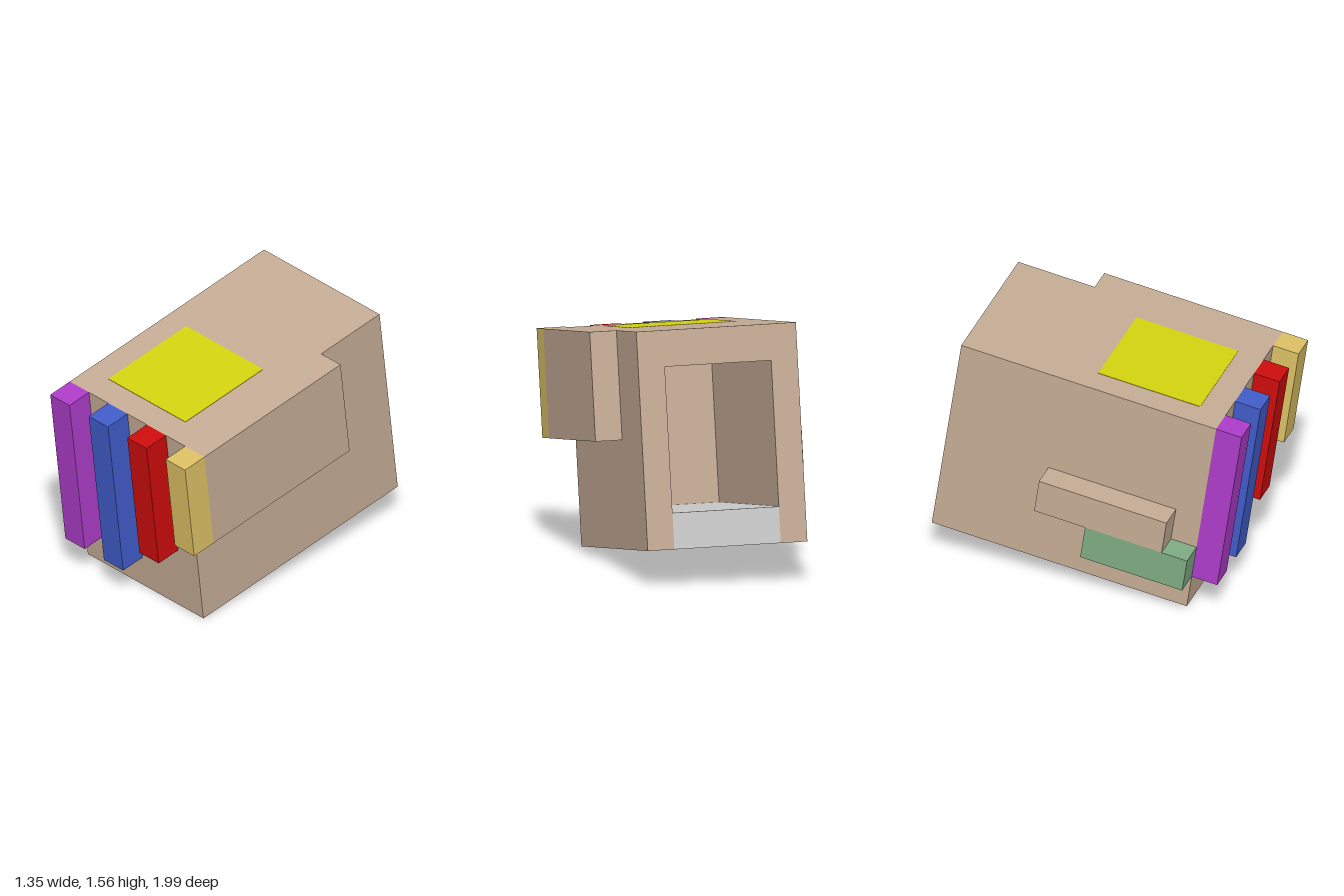
import * as THREE from 'three';

const U = 0.1655; // one block unit

const mat = (color) => new THREE.MeshStandardMaterial({ color, flatShading: true });

// Box given by its extents along each axis, in block units
function block(name, material, [x0, x1], [y0, y1], [z0, z1]) {
  const mesh = new THREE.Mesh(new THREE.BoxGeometry(x1 - x0, y1 - y0, z1 - z0), material);
  mesh.position.set((x0 + x1) / 2, (y0 + y1) / 2, (z0 + z1) / 2);
  mesh.name = name;
  return mesh;
}

export function createModel() {
  const T = 4 / 3; // thickness of the roof and floor, and height of the thumb blocks
  const skin = mat(0xc4ab94);
  const hand = new THREE.Group();
  hand.name = 'blockHand';

  // Hollow shell: upside-down U section, open at the back
  const section = new THREE.Shape([
    [-3, -4], [-2, -4], [-2, 4 - T], [2, 4 - T], [2, -4], [3, -4], [3, 4], [-3, 4],
  ].map(([x, y]) => new THREE.Vector2(x, y)));
  const shell = new THREE.Mesh(
    new THREE.ExtrudeGeometry(section, { depth: 9, bevelEnabled: false }), skin);
  shell.position.z = -5;
  shell.name = 'palmShell';
  hand.add(shell);

  // Front wall, inset floor and coloured top panel
  hand.add(block('frontWall', skin, [-3, 3], [-4, 4], [4, 5]));
  hand.add(block('floor', mat(0xcccccc), [-2, 2], [-4, -4 + T], [-5, 4]));
  hand.add(block('topPanel', mat(0xd2d210), [-2, 2], [3.9, 4.015], [0, 4]));

  // Fingers hanging down the front: name, colour, left edge, length
  [
    ['firstFinger', 0xac3cc8, -3, 5 * T],
    ['middleFinger', 0x405cc8, -1, 5 * T],
    ['ringFinger', 0xcc0c0c, 1, 4 * T],
    ['littleFinger', 0xdabf64, 3, 4],
  ].forEach(([name, color, x, length]) =>
    hand.add(block(name, mat(color), [x, x + 1], [4 - length, 4], [5, 6])));

  // Block beside the palm that carries the little finger
  hand.add(block('littleFingerBase', skin, [3, 4], [0, 4], [-2, 5]));

  // Thumb: upper base and lower tip
  hand.add(block('thumbBase', skin, [-4, -3], [-T, 0], [-1, 4]));
  hand.add(block('thumbTip', mat(0x7eaa82), [-4, -3], [-2 * T, -T], [1, 5]));

  // Whole hand is pitched forward and rolled slightly
  hand.scale.setScalar(U);
  hand.rotation.set(0.136, 0, -0.02);
  hand.position.set(-0.003, 0.773, -0.083);

  const model = new THREE.Group();
  model.add(hand);
  return model;
}
